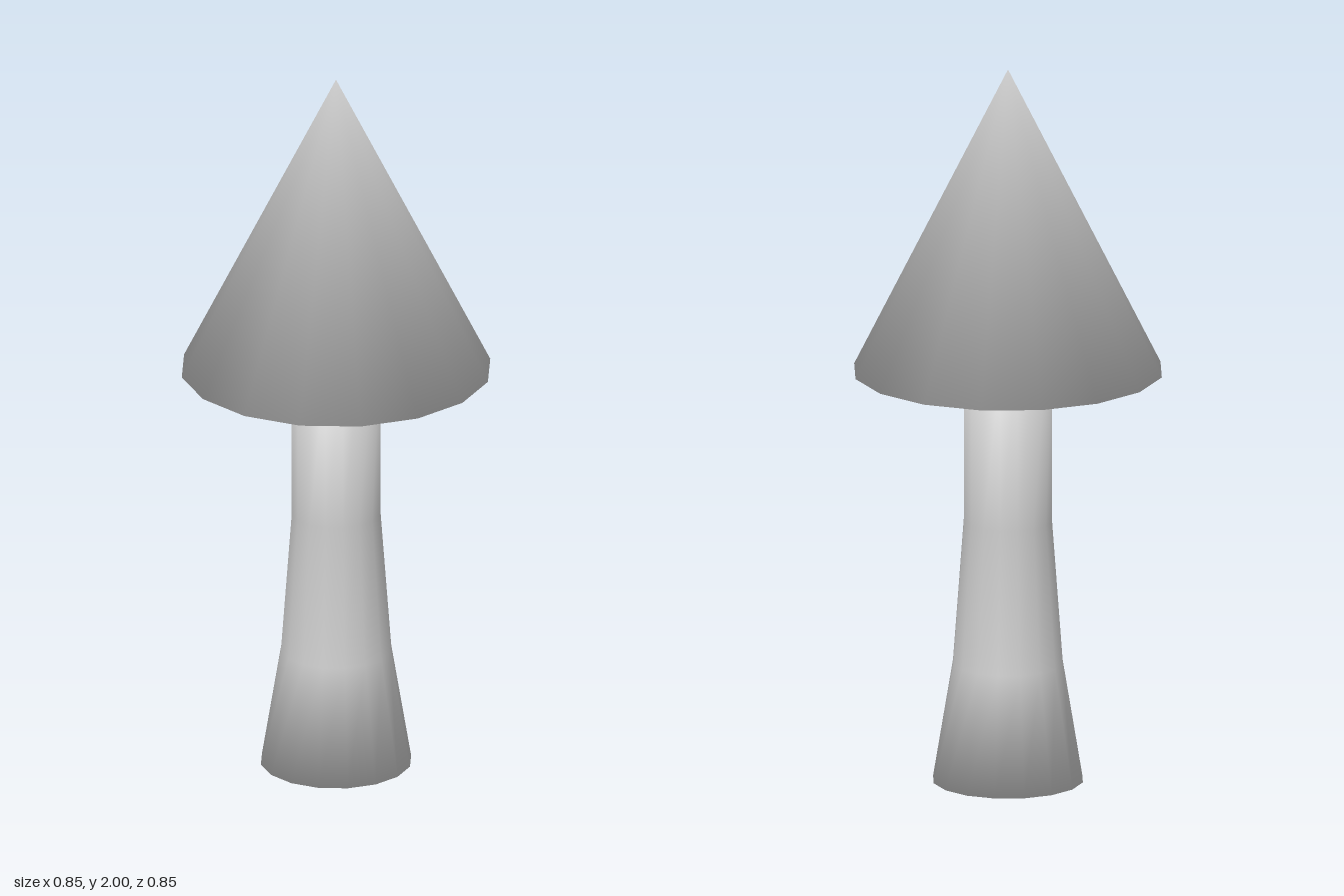
import * as THREE from 'three';

const SIDES = 16;

// Solid of stacked 16-sided rings [radius, y] from bottom to top, closed by flat ends.
// Normals are shared across all edges, so rims shade softly into the end faces.
function ringSolid(profile) {
  const last = profile.length - 1;
  const positions = [], normals = [], indices = [];

  // outward normal (radial, y) of each band between two rings
  const bands = profile.slice(1).map(([r, y], i) =>
    new THREE.Vector2(y - profile[i][1], profile[i][0] - r).normalize());

  profile.forEach(([r, y], j) => {
    const below = j > 0 ? bands[j - 1] : new THREE.Vector2(0, -1);
    const above = j < last ? bands[j] : new THREE.Vector2(0, 1);
    const n = r === 0 ? new THREE.Vector2(0, 1) : below.clone().add(above).normalize();
    for (let i = 0; i < SIDES; i++) {
      const a = (i / SIDES) * Math.PI * 2;
      positions.push(r * Math.sin(a), y, r * Math.cos(a));
      normals.push(n.x * Math.sin(a), n.y, n.x * Math.cos(a));
    }
  });

  // side walls
  for (let j = 0; j < last; j++) {
    for (let i = 0; i < SIDES; i++) {
      const k = (i + 1) % SIDES;
      const a = j * SIDES + i, b = j * SIDES + k;
      const c = b + SIDES, d = a + SIDES;
      indices.push(a, b, c);
      if (profile[j + 1][0] > 0) indices.push(a, c, d);
    }
  }

  // flat ends
  const top = last * SIDES;
  for (let i = 1; i < SIDES - 1; i++) {
    indices.push(0, i + 1, i);
    if (profile[last][0] > 0) indices.push(top, top + i, top + i + 1);
  }

  const geometry = new THREE.BufferGeometry();
  geometry.setAttribute('position', new THREE.Float32BufferAttribute(positions, 3));
  geometry.setAttribute('normal', new THREE.Float32BufferAttribute(normals, 3));
  geometry.setIndex(indices);
  return geometry;
}

export function createModel() {
  const model = new THREE.Group();
  model.name = 'mushroom';
  const material = new THREE.MeshStandardMaterial({ color: 0xcccccc });

  const add = (name, profile) => {
    const mesh = new THREE.Mesh(ringSolid(profile), material);
    mesh.name = name;
    model.add(mesh);
  };

  // flared stalk, its top tucked into the cap
  add('stem', [[0.207, 0], [0.152, 0.33], [0.122, 0.73], [0.122, 1.2]]);
  // pointed cap with a flat underside
  add('cap', [[0.425, 1.152], [0, 2]]);

  return model;
}
